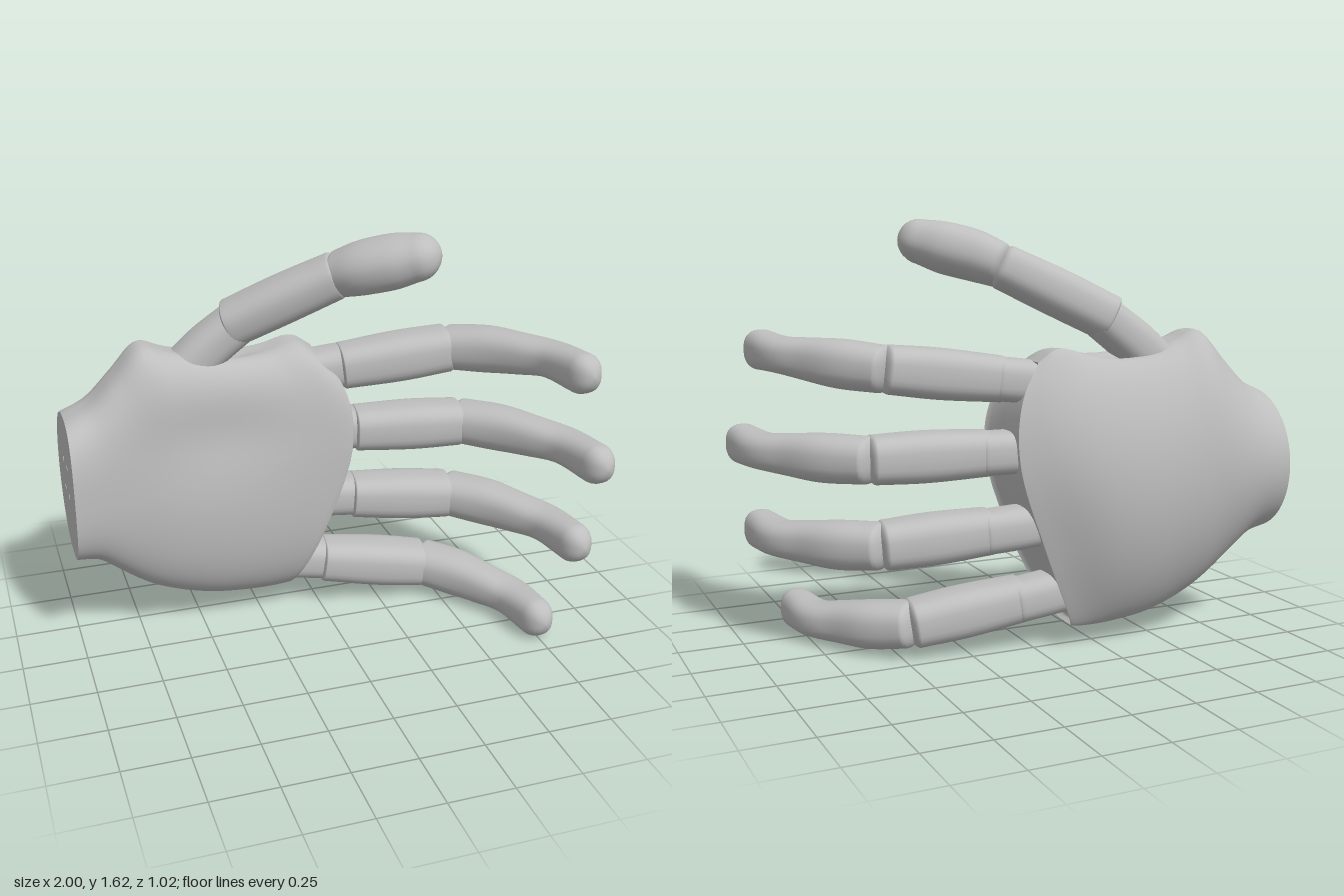
import * as THREE from 'three';

const V = (x, y, z) => new THREE.Vector3(x, y, z);
const spow = (c, p) => Math.sign(c) * Math.pow(Math.abs(c), p);
// Smooth lookup through a few samples
const table = (ts, vs) => {
  const f = new THREE.CubicInterpolant(ts, vs, 1, new Float32Array(1));
  return t => f.evaluate(t)[0];
};

// Skin a list of closed rings; flat caps close the ends
function skin(rings, capStart = true, capEnd = true) {
  const n = rings[0].length, pos = [], idx = [];
  rings.forEach(r => r.forEach(p => pos.push(p.x, p.y, p.z)));
  for (let i = 0; i < rings.length - 1; i++) for (let j = 0; j < n; j++) {
    const k = (j + 1) % n, a = i * n + j, b = i * n + k, c = a + n, d = b + n;
    idx.push(a, b, c, b, d, c);
  }
  const cap = (ring, flip) => {
    const base = pos.length / 3, mid = V(0, 0, 0);
    ring.forEach(p => { mid.addScaledVector(p, 1 / n); pos.push(p.x, p.y, p.z); });
    pos.push(mid.x, mid.y, mid.z);
    for (let j = 0; j < n; j++) {
      const k = (j + 1) % n;
      idx.push(base + n, base + (flip ? k : j), base + (flip ? j : k));
    }
  };
  if (capStart) cap(rings[0], true);
  if (capEnd) cap(rings[rings.length - 1], false);
  const g = new THREE.BufferGeometry();
  g.setAttribute('position', new THREE.Float32BufferAttribute(pos, 3));
  g.setIndex(idx);
  g.computeVertexNormals();
  return g;
}

// Finger segment: keys are [x, y, z, half height, half depth]; rounded at both ends
function limb(keys, up, startDome, endDome, square = 0.8) {
  const curve = new THREE.CatmullRomCurve3(keys.map(k => V(k[0], k[1], k[2])));
  const ts = keys.map((_, i) => i / (keys.length - 1));
  const ra = table(ts, keys.map(k => k[3])), rb = table(ts, keys.map(k => k[4]));
  const ring = (t, scale, shift) => {
    const T = curve.getTangent(t), P = curve.getPoint(t).addScaledVector(T, shift);
    const A = up.clone().addScaledVector(T, -up.dot(T)).normalize();
    const B = T.clone().cross(A);
    return Array.from({ length: 32 }, (_, j) => {
      const th = j / 32 * Math.PI * 2;
      return P.clone().addScaledVector(A, ra(t) * scale * spow(Math.cos(th), square))
        .addScaledVector(B, rb(t) * scale * spow(Math.sin(th), square));
    });
  };
  const rings = [], D = 7, S = 20;
  for (let i = 0; i < D; i++) {
    const a = (1 - i / D) * 1.5;
    rings.push(ring(0, Math.cos(a), -startDome * Math.sin(a)));
  }
  for (let i = 0; i <= S; i++) rings.push(ring(i / S, 1, 0));
  for (let i = 1; i <= D; i++) {
    const a = i / D * 1.5;
    rings.push(ring(1, Math.cos(a), endDome * Math.sin(a)));
  }
  return skin(rings);
}

// Palm outline and depth, u runs from wrist to knuckles, v from little finger to index
const us = [0, 0.1, 0.2, 0.3, 0.4, 0.6, 0.8, 0.94, 1];
const topY = table(us, [0.95, 1.0, 1.1, 1.2, 1.18, 1.15, 1.14, 1.15, 1.11]);
const botY = table(us, [0.38, 0.355, 0.285, 0.215, 0.165, 0.105, 0.082, 0.08, 0.085]);
const backZ = table([0, 0.4, 0.75, 1], [-0.48, -0.505, -0.48, -0.38]);
const frontZ = table([0, 0.12, 0.5, 1], [0.01, -0.02, -0.03, -0.035]);
const midZ = table([0, 0.5, 1], [-0.2, -0.28, -0.3]);
const edgeX = table([0, 0.31, 0.66, 0.88, 1], [-0.14, 0.0, 0.11, 0.08, 0.0]);

function palmRing(u, sy = 1, sz = 1, dx = 0) {
  const N = 96, lo = botY(u), hi = topY(u), m = midZ(u);
  const taper = 0.95 + 0.42 * Math.min(1, u * 2);
  return Array.from({ length: N }, (_, j) => {
    const th = j / N * Math.PI * 2, s = Math.sin(th);
    const v = (1 + sy * spow(Math.cos(th), s > 0 ? 0.72 : 1)) / 2;
    const x = -1 + u * (edgeX(v) + 1) + dx;
    let y = lo + (hi - lo) * v;
    let z = m + sz * (s > 0 ? (frontZ(u) - m) * Math.pow(s, 0.62) : (m - backZ(u)) * spow(s, taper));
    // Hollow of the hand, and the oval socket under the thumb
    if (s > 0) z -= 0.035 * s * Math.exp(-(((x + 0.4) / 0.3) ** 2) - ((y - 0.85) / 0.17) ** 2);
    if (v > 0.6) y -= 0.055 * Math.exp(-(((x + 0.38) / 0.18) ** 2) - ((z + 0.26) / 0.07) ** 2);
    return V(x, y, z);
  });
}

export function createModel() {
  const hand = new THREE.Group();
  hand.name = 'hand';
  const grey = new THREE.MeshStandardMaterial({ color: 0xbebebe });
  grey.name = 'grey';
  const add = (parent, name, geo) => {
    const m = new THREE.Mesh(geo, grey);
    m.name = name;
    parent.add(m);
    return m;
  };

  // Palm shell with a rounded lip at the knuckle end
  const rings = Array.from({ length: 49 }, (_, i) => palmRing(i / 48));
  rings.push(palmRing(1, 0.99, 0.97, 0.005));
  add(hand, 'palm', skin(rings, true, false));

  // Slightly recessed face the fingers come out of
  add(hand, 'knuckleFace', skin([
    [0.99, 0.97, 0.005], [0.97, 0.92, -0.012], [0.96, 0.6, -0.02], [0.95, 0.3, -0.02], [0.95, 0, -0.02],
  ].map(([sy, sz, dx]) => palmRing(1, sy, sz, dx)), false, false));

  // Small studs on the wrist plate
  for (const y of [0.62, 0.74]) for (const z of [-0.28, -0.18]) {
    const stud = add(hand, 'wristStud', new THREE.CylinderGeometry(0.012, 0.012, 0.006, 16));
    stud.rotation.z = Math.PI / 2;
    stud.position.set(-0.999, y, z);
  }

  // Four fingers: root, knuckle x, middle joint x, height at x = 0, slope, tip length
  const up = V(0, 1, 0);
  const fingers = [
    ['indexFinger', -0.08, 0.13, 0.55, 1.025, 0.115, 0.99],
    ['middleFinger', 0.0, 0.19, 0.61, 0.765, -0.01, 1.04],
    ['ringFinger', -0.08, 0.18, 0.57, 0.475, -0.07, 0.99],
    ['littleFinger', -0.2, 0.05, 0.46, 0.19, -0.145, 0.93],
  ];
  for (const [name, x0, x1, xj, y0, slope, len] of fingers) {
    const finger = new THREE.Group();
    finger.name = name;
    hand.add(finger);
    const key = (x, z, a, b) => [x, y0 + slope * x, z, a, b];
    add(finger, 'fingerRoot', limb([
      key(x0, -0.205, 0.08, 0.092), key((x0 + x1) / 2, -0.205, 0.082, 0.094), key(x1, -0.195, 0.082, 0.094),
    ], up, 0.01, 0.04, 0.7));
    add(finger, 'fingerMiddle', limb([
      key(x1 - 0.02, -0.185, 0.086, 0.102), key((x1 + xj) / 2, -0.155, 0.094, 0.11), key(xj - 0.02, -0.13, 0.089, 0.107),
    ], up, 0.015, 0.03, 0.7));
    const d = (x, z, a, b) => key(xj + x * len, -0.13 + (z + 0.13) * len, a, b);
    add(finger, 'fingerTip', limb([
      d(0, -0.13, 0.086, 0.104), d(0.115, -0.02, 0.09, 0.098), d(0.2, 0.095, 0.08, 0.086),
      d(0.28, 0.22, 0.069, 0.082), d(0.311, 0.41, 0.078, 0.066),
    ], up, 0.04, 0.08, 0.8));
  }

  // Thumb, rising out of its socket
  const thumb = new THREE.Group();
  thumb.name = 'thumb';
  hand.add(thumb);
  const tUp = V(-0.45, 0.9, 0);
  add(thumb, 'thumbRoot', limb([
    [-0.53, 1.06, -0.23, 0.09, 0.097], [-0.43, 1.155, -0.225, 0.087, 0.1], [-0.31, 1.25, -0.21, 0.082, 0.1],
  ], tUp, 0.01, 0.04));
  add(thumb, 'thumbMiddle', limb([
    [-0.33, 1.25, -0.215, 0.088, 0.106], [-0.15, 1.345, -0.145, 0.09, 0.108], [0.04, 1.442, -0.07, 0.085, 0.104],
  ], tUp, 0.02, 0.04));
  add(thumb, 'thumbTip', limb([
    [0.06, 1.453, -0.06, 0.085, 0.1], [0.13, 1.485, 0.0, 0.096, 0.116],
    [0.23, 1.515, 0.06, 0.097, 0.118], [0.305, 1.537, 0.11, 0.084, 0.1],
  ], tUp, 0.04, 0.09, 0.9));

  return hand;
}
